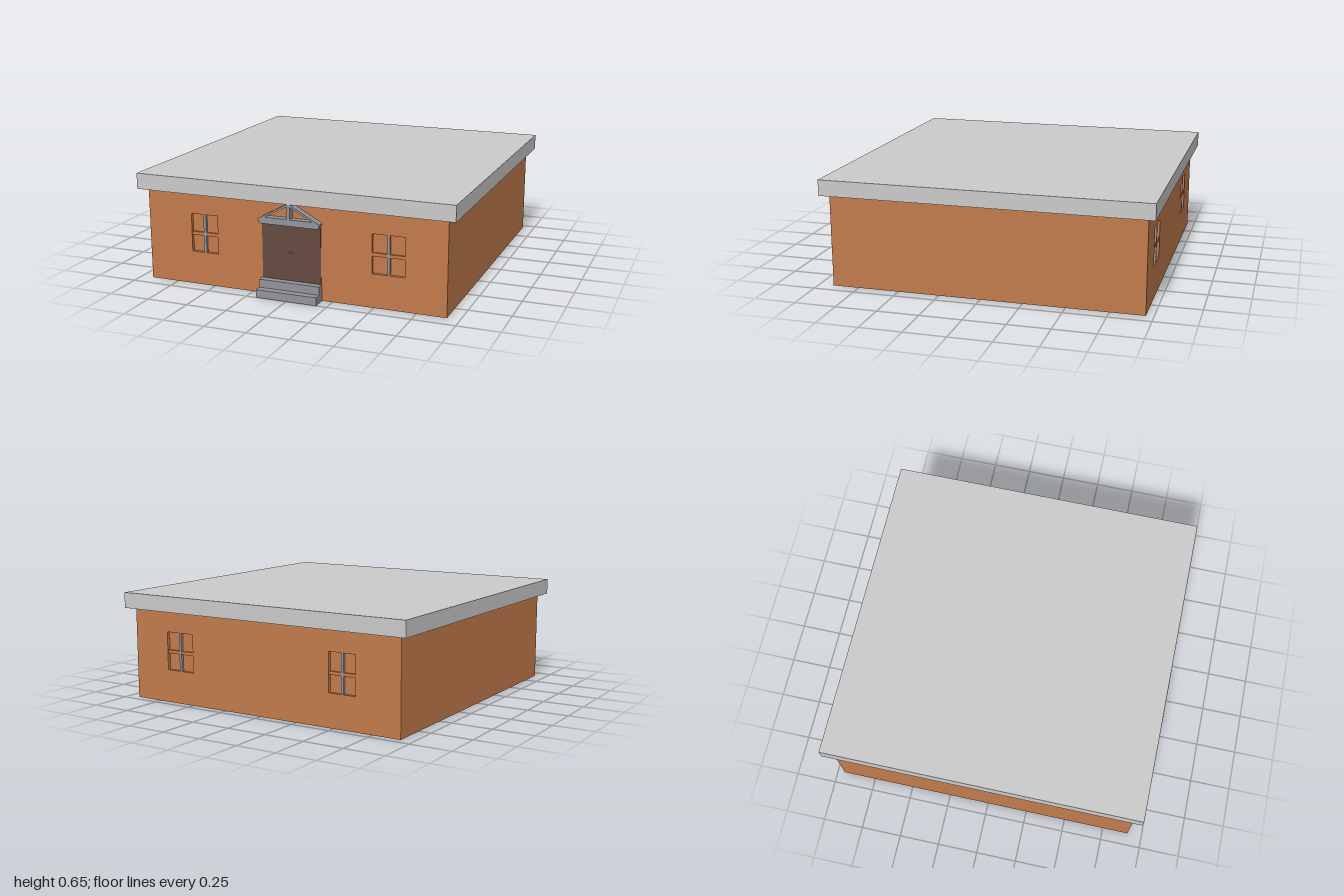
import * as THREE from 'three';

export function createModel() {
  const model = new THREE.Group();
  const material = (name, color) => {
    const m = new THREE.MeshStandardMaterial({ color });
    m.name = name;
    return m;
  };
  const brick = material('brick orange', 0xc27b4c);
  const roofGrey = material('roof grey', 0xcacaca);
  const trimGrey = material('trim grey', 0x94939a);
  const doorBrown = material('door brown', 0x654a40);

  const add = (name, geometry, mat, parent = model) => {
    const mesh = new THREE.Mesh(geometry, mat);
    mesh.name = name;
    parent.add(mesh);
    return mesh;
  };
  // box given by its limits on each axis
  const box = (name, mat, [x0, x1], [y0, y1], [z0, z1], parent) => {
    const mesh = add(name, new THREE.BoxGeometry(x1 - x0, y1 - y0, z1 - z0), mat, parent);
    mesh.position.set((x0 + x1) / 2, (y0 + y1) / 2, (z0 + z1) / 2);
    return mesh;
  };
  const polygon = (points, Type = THREE.Shape) => new Type(points.map(p => new THREE.Vector2(...p)));
  const rect = (x0, x1, y0, y1, Type) => polygon([[x0, y0], [x1, y0], [x1, y1], [x0, y1]], Type);
  const extrude = (shape, depth) => new THREE.ExtrudeGeometry(shape, { depth, bevelEnabled: false });

  // walls: a solid core, with pierced front and back skins for the recessed windows
  const W = 0.925, H = 0.56, FRONT = 0.91, BACK = -0.955, RECESS = 0.02;
  const windows = [[-0.643, -0.471], [0.487, 0.681]];
  const sill = 0.2, head = 0.432, rail = 0.312, bar = 0.008;
  box('wallCore', brick, [-W, W], [0, H], [BACK + RECESS, FRONT - RECESS]);

  const skin = rect(-W, W, 0, H);
  for (const [x0, x1] of windows) skin.holes.push(rect(x0, x1, sill, head, THREE.Path));
  for (const [side, z] of [['front', FRONT - RECESS], ['back', BACK]]) {
    add(side + 'Wall', extrude(skin, RECESS), brick).position.z = z;
    // glazing bars
    windows.forEach(([x0, x1], i) => {
      const group = new THREE.Group();
      group.name = side + (i ? 'Left' : 'Right') + 'Window';
      model.add(group);
      const mid = (x0 + x1) / 2;
      box('verticalBar', trimGrey, [mid - bar, mid + bar], [sill, head], [z + 0.002, z + RECESS - 0.002], group);
      box('horizontalBar', brick, [x0, x1], [rail - 0.01, rail + 0.01], [z + 0.004, z + RECESS - 0.004], group);
    });
  }

  // flat overhanging roof
  box('roof', roofGrey, [-0.975, 0.975], [H, 0.655], [-1, 0.955]);

  // entrance steps
  box('lowerStep', trimGrey, [-0.187, 0.187], [0, 0.048], [FRONT, 1]);
  box('upperStep', trimGrey, [-0.187, 0.187], [0.048, 0.097], [FRONT, 0.955]);

  // double door with knobs
  for (const s of [-1, 1]) {
    const name = s < 0 ? 'right' : 'left';
    box(name + 'Door', doorBrown, s < 0 ? [-0.182, 0] : [0, 0.182], [0.097, 0.435], [FRONT, FRONT + 0.004]);
    const knob = add(name + 'DoorKnob', new THREE.SphereGeometry(0.005, 10, 8), brick);
    knob.position.set(s * 0.01, 0.267, FRONT + 0.006);
  }

  // open triangular pediment with a king post
  const pediment = polygon([
    [-0.182, 0.433], [0.182, 0.433], [0.19, 0.46], [0.008, 0.56], [-0.008, 0.56], [-0.19, 0.46],
  ]);
  for (const s of [-1, 1]) {
    pediment.holes.push(polygon([[s * 0.009, 0.472], [s * 0.145, 0.472], [s * 0.009, 0.545]], THREE.Path));
  }
  add('pediment', extrude(pediment, 0.042), trimGrey).position.z = FRONT;

  return model;
}
